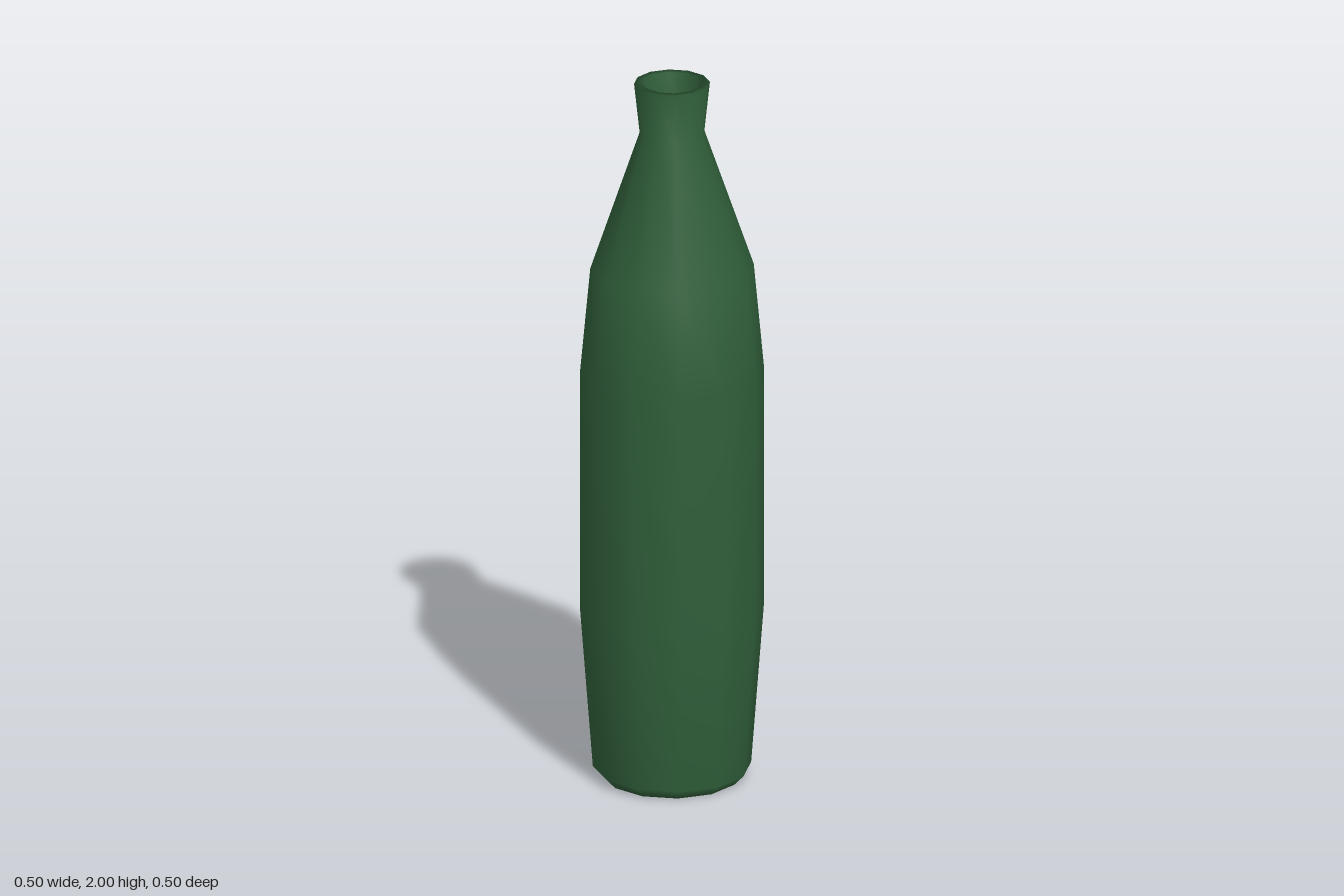
import * as THREE from 'three';

export function createModel() {
  const model = new THREE.Group();
  model.name = 'bottle';

  const greenGlass = new THREE.MeshStandardMaterial({ color: 0x305f3a });
  greenGlass.name = 'greenGlass';

  // Twelve-sided smooth shell turned around the y axis
  const turned = (name, profile) => {
    const points = profile.map(([r, y]) => new THREE.Vector2(r, y));
    const mesh = new THREE.Mesh(new THREE.LatheGeometry(points, 12), greenGlass);
    mesh.name = name;
    model.add(mesh);
  };

  // Base, belly, shoulder, neck, rim and the inside of the neck
  turned('bottleShell', [
    [0, 0], [0.187, 0], [0.215, 0.03],
    [0.25, 0.49], [0.25, 1.17],
    [0.222, 1.47], [0.088, 1.86],
    [0.103, 2], [0.081, 2],
    [0.073, 1.86],
  ]);

  // Hollow inside, from the neck down to the floor
  turned('innerWall', [
    [0.073, 1.86], [0.207, 1.46], [0.235, 1.17],
    [0.235, 0.49], [0.2, 0.04],
  ]);
  turned('innerFloor', [[0.2, 0.04], [0, 0.04]]);

  return model;
}
